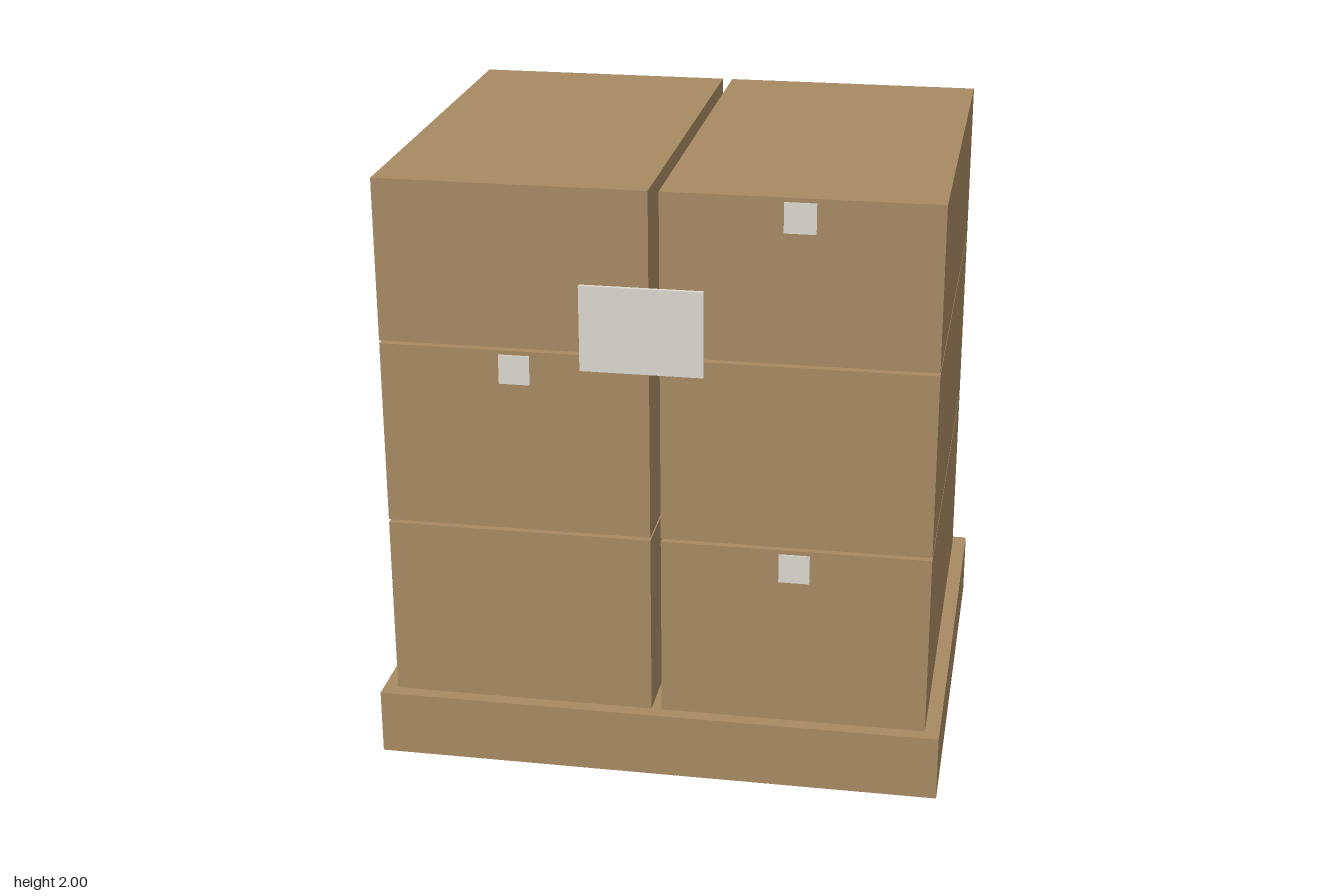
import * as THREE from 'three';

export function createModel() {
  const model = new THREE.Group();
  model.name = 'palletStack';
  const cardboard = new THREE.MeshStandardMaterial({ name: 'cardboard', color: 0xa88a63 });
  const paper = new THREE.MeshStandardMaterial({ name: 'paper', color: 0xdcd8d0 });

  // Box given by its lower and upper limits on each axis
  function block(name, material, [x0, x1], [y0, y1], [z0, z1]) {
    const mesh = new THREE.Mesh(new THREE.BoxGeometry(x1 - x0, y1 - y0, z1 - z0), material);
    mesh.position.set((x0 + x1) / 2, (y0 + y1) / 2, (z0 + z1) / 2);
    mesh.name = name;
    model.add(mesh);
  }

  const depth = 0.736;
  block('palletBase', cardboard, [-0.936, 0.936], [0, 0.22], [-0.782, 0.782]);

  // Three layers of two cartons; one carton per layer is labelled front and back
  const layers = [
    { y: [0.22, 0.833], labelX: 0.45 },
    { y: [0.844, 1.457], labelX: -0.45 },
    { y: [1.467, 2], labelX: 0.45 },
  ];
  for (const { y, labelX } of layers) {
    block('leftCarton', cardboard, [0.017, 0.888], y, [-depth, depth]);
    block('rightCarton', cardboard, [-0.888, -0.017], y, [-depth, depth]);
    const x = [labelX - 0.05, labelX + 0.05];
    const labelY = [y[1] - 0.111, y[1] - 0.014];
    block('frontLabel', paper, x, labelY, [depth - 0.002, depth + 0.005]);
    block('backLabel', paper, x, labelY, [-depth - 0.005, -depth + 0.002]);
  }

  // Large shipping sheet across the front gap
  block('shippingSheet', paper, [-0.236, 0.157], [1.409, 1.69], [depth, 0.75]);

  return model;
}
